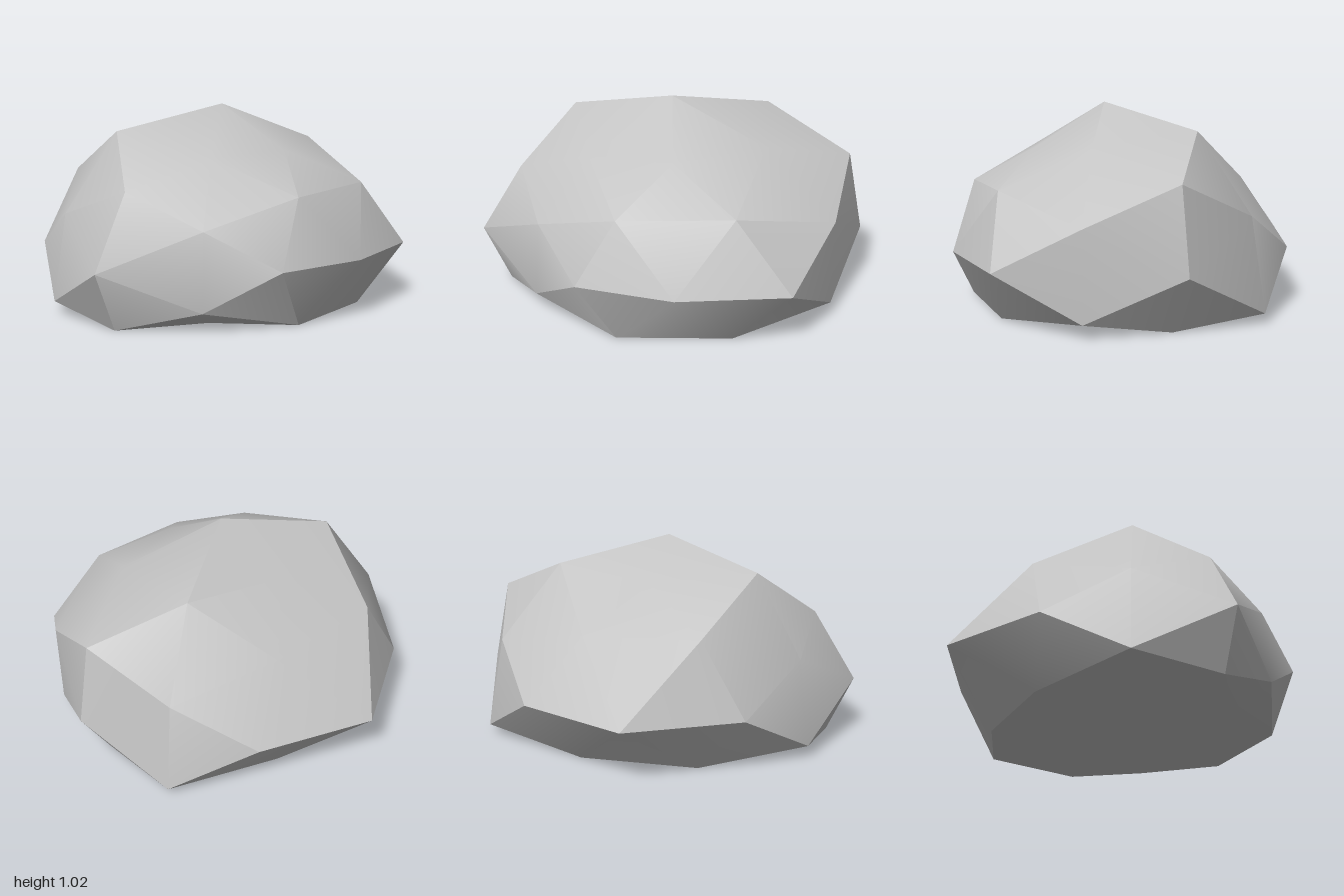
import * as THREE from 'three';
import { toCreasedNormals } from 'three/addons/utils/BufferGeometryUtils.js';

// Bulges and dents: direction on the unit sphere, then radius factor (others stay 1)
const dents = [
  // poles and equator
  [0, 0, 1, 0.927], [0, 0, -1, 1.175],
  [0.53, 0, 0.85, 1.045], [-0.53, 0, 0.85, 0.89],
  [0.53, 0, -0.85, 1.045], [-0.53, 0, -0.85, 1.025],
  // crown
  [0, 0.85, 0.53, 0.82], [0, 0.85, -0.53, 0.9],
  [0.5, 0.81, -0.31, 1.03], [-0.5, 0.81, -0.31, 1.025],
  [0.5, 0.81, 0.31, 0.915], [-0.5, 0.81, 0.31, 0.83],
  // shoulders
  [0.85, 0.53, 0, 1.08], [-0.85, 0.53, 0, 0.92],
  [0.31, 0.5, 0.81, 0.93], [-0.31, 0.5, 0.81, 0.88],
  [0.31, 0.5, -0.81, 0.92], [-0.31, 0.5, -0.81, 1.02],
  [0.81, 0.31, 0.5, 0.975], [-0.81, 0.31, 0.5, 0.82],
  [0.81, 0.31, -0.5, 0.98], [-0.81, 0.31, -0.5, 0.93],
  // underside rim
  [0.81, -0.31, 0.5, 0.975], [-0.81, -0.31, 0.5, 0.85], [0.81, -0.31, -0.5, 1.07],
  [0.85, -0.53, 0, 0.975], [-0.85, -0.53, 0, 1.02],
  [0.31, -0.5, 0.81, 0.92], [-0.31, -0.5, 0.81, 0.9],
  [0.31, -0.5, -0.81, 0.96], [-0.31, -0.5, -0.81, 0.96],
];

function radiusFactor(v) {
  const hit = dents.find(([x, y, z]) => Math.hypot(v.x - x, v.y - y, v.z - z) < 0.05);
  return hit ? hit[3] : 1;
}

export function createModel() {
  const group = new THREE.Group();
  group.name = 'rock';

  const stoneGrey = new THREE.MeshStandardMaterial({ color: 0xc3c3c3 });
  stoneGrey.name = 'stoneGrey';

  // Once-divided icosahedron, squashed, dented and cut flat at the ground
  const geometry = new THREE.IcosahedronGeometry(1, 1).rotateZ(Math.PI / 2);
  const pos = geometry.attributes.position;
  const v = new THREE.Vector3();
  for (let i = 0; i < pos.count; i++) {
    v.fromBufferAttribute(pos, i);
    const k = radiusFactor(v);
    pos.setXYZ(i, v.x * k, Math.max(0, 0.29 + 0.73 * v.y * k), 0.11 + 0.885 * v.z * k);
  }

  // Soft facets, with only the strong ridges kept sharp
  const boulder = new THREE.Mesh(toCreasedNormals(geometry, THREE.MathUtils.degToRad(30)), stoneGrey);
  boulder.name = 'boulder';
  group.add(boulder);
  return group;
}
